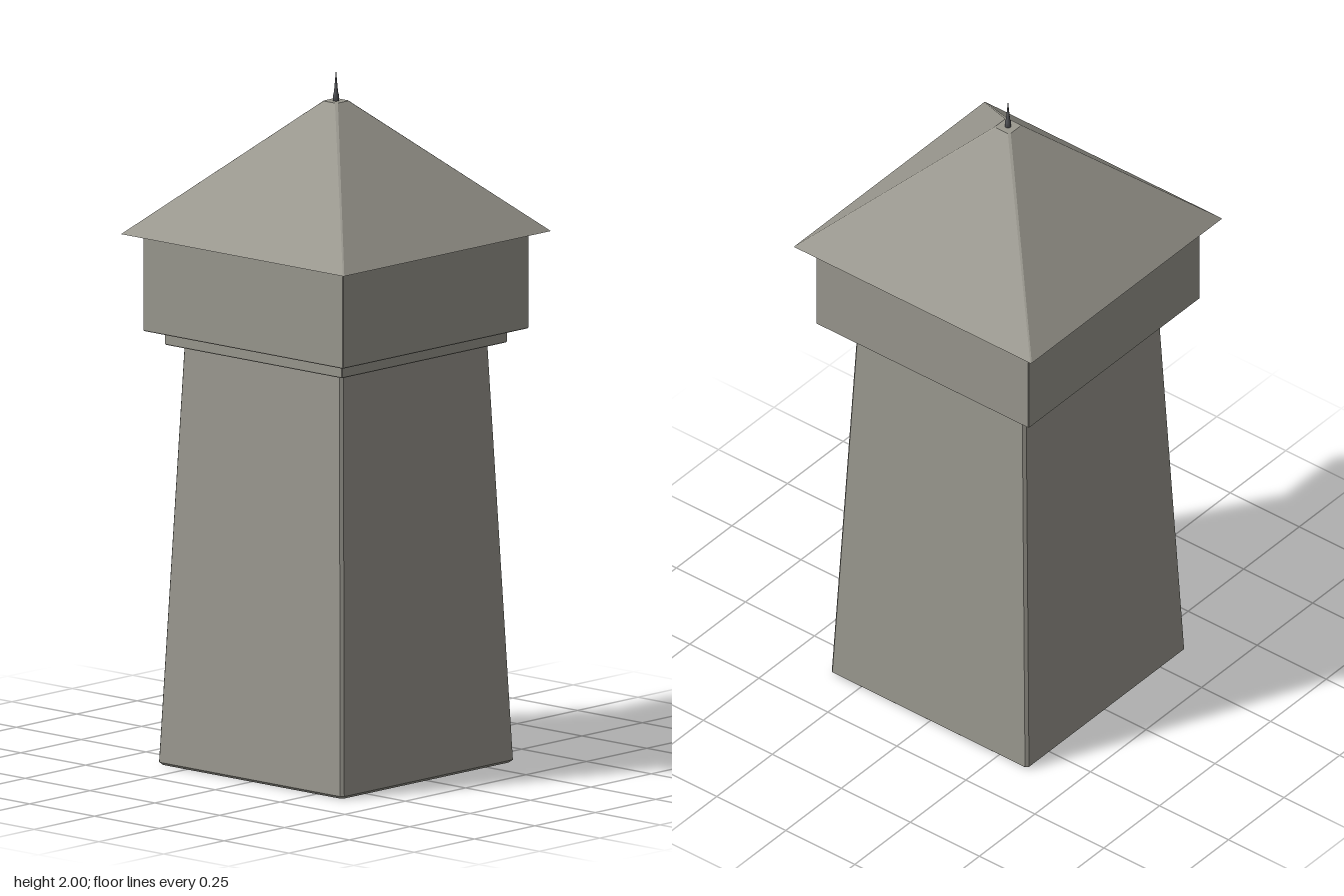
import * as THREE from 'three';

// Square ring of half-width h at height y with corners cut by c
function ring(h, y, c) {
  const k = h - c;
  return [[k, h], [h, k], [h, -k], [k, -h], [-k, -h], [-h, -k], [-h, k], [-k, h]]
    .map(([x, z]) => new THREE.Vector3(x, y, z));
}

// Closed, flat-shaded solid lofted through rings listed from bottom to top
function loft(rings) {
  const pos = [];
  const tri = (...pts) => pts.forEach((p) => pos.push(p.x, p.y, p.z));
  for (let r = 0; r < rings.length - 1; r++) {
    const lo = rings[r], hi = rings[r + 1];
    for (let i = 0; i < 8; i++) {
      const j = (i + 1) % 8;
      tri(lo[i], lo[j], hi[j]);
      tri(lo[i], hi[j], hi[i]);
    }
  }
  const bottom = rings[0], top = rings[rings.length - 1];
  for (let i = 1; i < 7; i++) {
    tri(bottom[0], bottom[i + 1], bottom[i]);
    tri(top[0], top[i], top[i + 1]);
  }
  const geo = new THREE.BufferGeometry();
  geo.setAttribute('position', new THREE.Float32BufferAttribute(pos, 3));
  geo.computeVertexNormals();
  return geo;
}

// Square block with chamfered edges, tapering from half-width h0 to h1
function block(h0, y0, h1, y1, c) {
  return loft([
    ring(h0 - c, y0, c), ring(h0, y0 + c, c),
    ring(h1, y1 - c, c), ring(h1 - c, y1, c),
  ]);
}

export function createModel() {
  const group = new THREE.Group();
  const stone = new THREE.MeshStandardMaterial({ color: 0x9a988f });
  stone.name = 'greyStone';
  const metal = new THREE.MeshStandardMaterial({ color: 0x55565a });
  metal.name = 'darkMetal';

  const add = (name, geo, mat) => {
    const mesh = new THREE.Mesh(geo, mat);
    mesh.name = name;
    group.add(mesh);
  };

  // Tapered tower body and the wider storey above it
  add('shaft', block(0.357, 0, 0.306, 1.215, 0.008), stone);
  add('ledge', block(0.342, 1.21, 0.342, 1.255, 0.002), stone);
  add('upperStorey', block(0.385, 1.25, 0.385, 1.535, 0.002), stone);

  // Pyramid roof with a small flat cap
  add('roof', loft([ring(0.43, 1.53, 0.003), ring(0.027, 1.91, 0.006)]), stone);

  // Pointed finial
  const profile = [[0, 1.905], [0.009, 1.905], [0.009, 1.925], [0.006, 1.935], [0, 2]]
    .map(([x, y]) => new THREE.Vector2(x, y));
  add('finial', new THREE.LatheGeometry(profile, 10), metal);

  return group;
}
